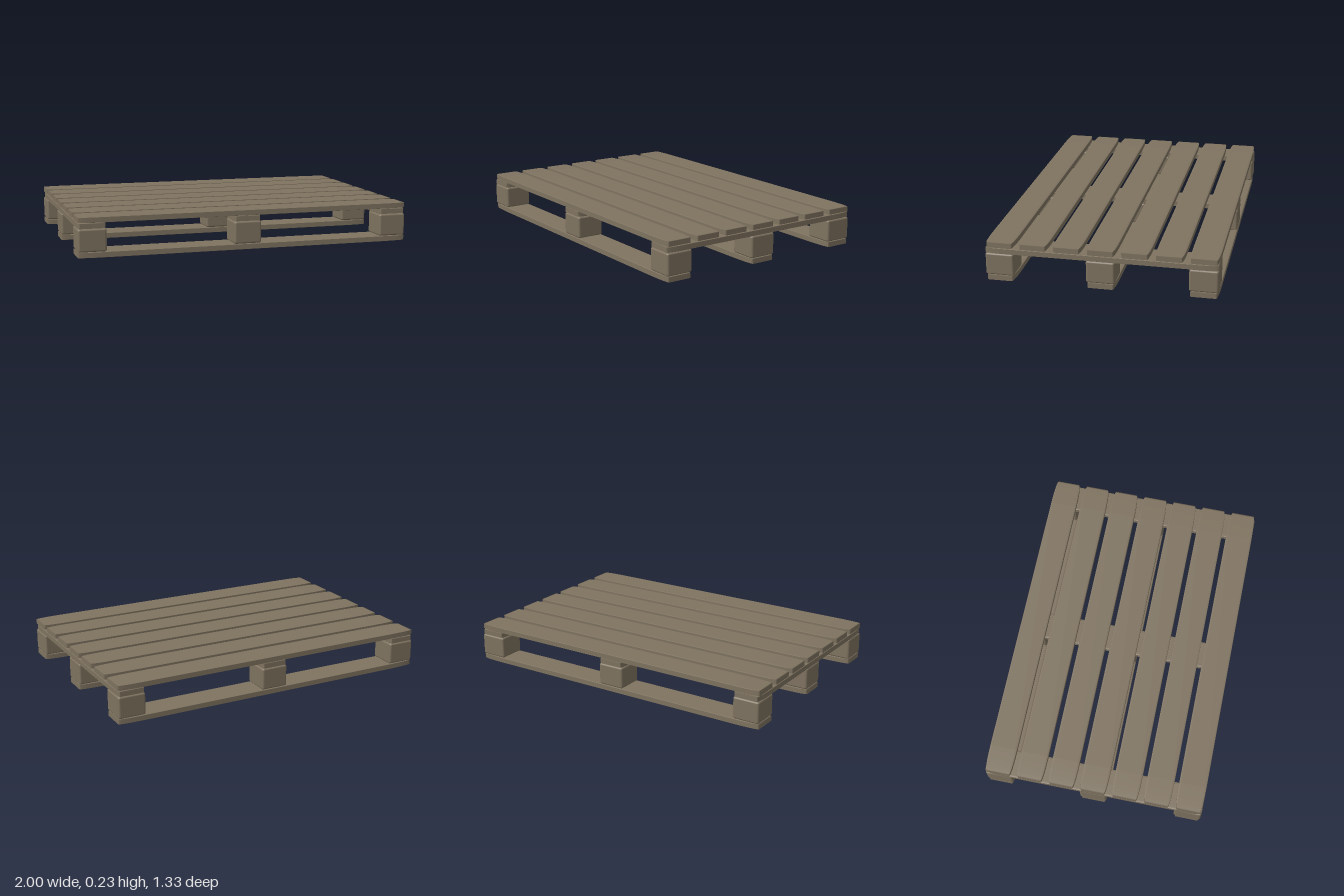
import * as THREE from 'three';
import { RoundedBoxGeometry } from 'three/addons/geometries/RoundedBoxGeometry.js';

export function createModel() {
  const pallet = new THREE.Group();
  pallet.name = 'pallet';
  const wood = new THREE.MeshStandardMaterial({ color: 0x7f7360 });
  wood.name = 'weathered wood';

  // Every timber is a softened cube stretched to size, so its long ends taper gently
  const timber = (name, [w, h, d], [x, y, z]) => {
    const geometry = new RoundedBoxGeometry(1, 1, 1, 3, 0.08).scale(w, h, d);
    const mesh = new THREE.Mesh(geometry, wood);
    mesh.name = name;
    mesh.position.set(x, y, z);
    pallet.add(mesh);
  };

  const width = 0.166, thick = 0.034, blockHeight = 0.132;
  const length = 2, depth = 1.334;
  const beamY = thick + blockHeight + thick / 2;
  const rowsX = [-0.917, 0, 0.917];
  const rowsZ = [-0.584, 0, 0.584];

  // Bottom runners with three blocks on each
  for (const z of rowsZ) {
    timber('bottomRunner', [length, thick, width], [0, thick / 2, z]);
    for (const x of rowsX) {
      timber('block', [width, blockHeight, width], [x, thick + blockHeight / 2, z]);
    }
  }

  // Cross beams from front to back
  for (const x of rowsX) timber('crossBeam', [width, thick, depth], [x, beamY, 0]);

  // Seven deck boards
  for (let i = -3; i <= 3; i++) {
    timber('deckBoard', [length, thick, width], [0, beamY + thick, i * 0.1947]);
  }

  return pallet;
}
